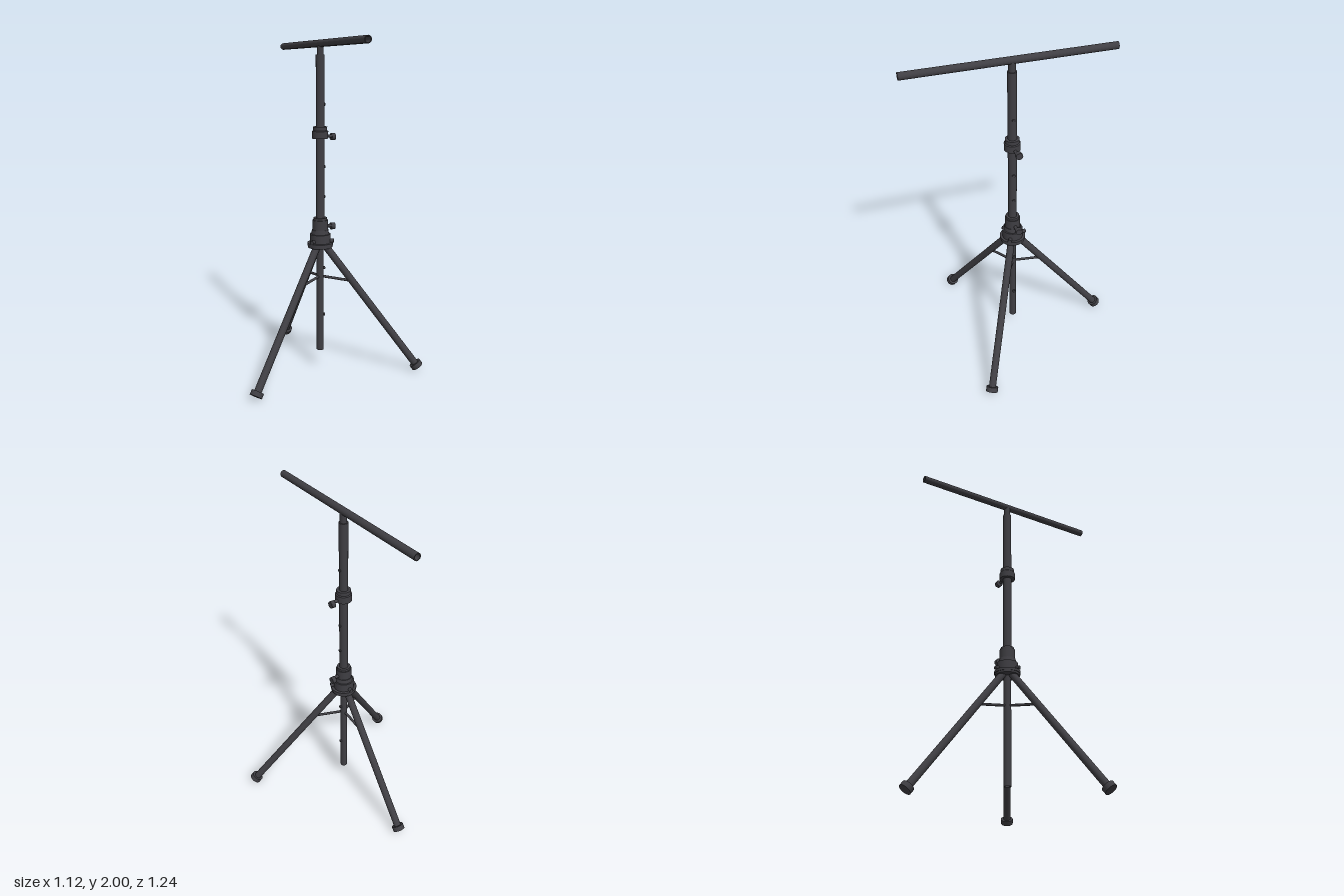
import * as THREE from 'three';

const AXIS_Z = 0.017; // the mast stands slightly forward of centre
const V = (x, y, z) => new THREE.Vector3(x, y, z);

export function createModel() {
  const root = new THREE.Group();
  root.name = 'tripodStand';
  const stand = new THREE.Group();
  stand.name = 'stand';
  stand.position.z = AXIS_Z;
  root.add(stand);
  const material = new THREE.MeshStandardMaterial({ color: 0x3f3e43 });

  function add(parent, name, geometry) {
    const mesh = new THREE.Mesh(geometry, material);
    mesh.name = name;
    parent.add(mesh);
    return mesh;
  }

  // Cylinder running from a to b
  function rod(parent, name, a, b, radius, sides = 20) {
    const mesh = add(parent, name, new THREE.CylinderGeometry(radius, radius, a.distanceTo(b), sides));
    mesh.position.copy(a).add(b).multiplyScalar(0.5);
    mesh.quaternion.setFromUnitVectors(V(0, 1, 0), b.clone().sub(a).normalize());
    return mesh;
  }

  // Hollow tube along y; each wall has its own normals so the rims stay crisp
  function pipe(parent, name, outer, inner, y0, y1) {
    const shape = new THREE.Shape().absarc(0, 0, outer, 0, Math.PI * 2);
    shape.holes.push(new THREE.Path().absarc(0, 0, inner, 0, Math.PI * 2, true));
    const geometry = new THREE.ExtrudeGeometry(shape, { depth: y1 - y0, bevelEnabled: false, curveSegments: 24 });
    geometry.rotateX(-Math.PI / 2).translate(0, y0, 0);
    return add(parent, name, geometry);
  }

  // Stack of rings: [bottom y, top y, bottom radius, top radius]
  function rings(name, list) {
    const group = new THREE.Group();
    group.name = name;
    for (const [y0, y1, r0, r1] of list) {
      const mesh = add(group, name + 'Ring', new THREE.CylinderGeometry(r1, r0, y1 - y0, 24));
      mesh.position.y = (y0 + y1) / 2;
    }
    stand.add(group);
  }

  // Telescoping mast
  pipe(stand, 'lowerTube', 0.022, 0.017, 0.11, 0.8);
  pipe(stand, 'middleTube', 0.026, 0.021, 0.85, 1.45);
  rod(stand, 'upperTube', V(0, 1.43, 0), V(0, 1.915, 0), 0.026, 24);
  rod(stand, 'mastNeck', V(0, 1.9, 0), V(0, 1.972, 0), 0.02, 24);

  // Top crossbar, an open pipe running front to back
  const bar = pipe(stand, 'crossbar', 0.021, 0.016, -0.603, 0.603);
  bar.rotation.x = Math.PI / 2;
  bar.position.set(0, 1.979, 0);

  // Clamp collars and hub
  rings('upperCollar', [
    [1.43, 1.473, 0.048, 0.048],
    [1.473, 1.478, 0.048, 0.042],
    [1.478, 1.5, 0.042, 0.042],
  ]);
  rings('hub', [
    [0.77, 0.782, 0.075, 0.075],
    [0.782, 0.798, 0.079, 0.079],
    [0.798, 0.852, 0.063, 0.063],
    [0.852, 0.878, 0.054, 0.05],
    [0.878, 0.938, 0.047, 0.047],
    [0.938, 0.952, 0.041, 0.041],
  ]);

  // Locking knobs on the left side
  for (const y of [1.442, 0.895]) {
    const knob = new THREE.Group();
    knob.name = 'lockingKnob';
    rod(knob, 'knobStem', V(0.03, y, -0.003), V(0.08, y, -0.003), 0.01, 12);
    rod(knob, 'knobHead', V(0.075, y - 0.005, -0.012), V(0.1, y - 0.005, -0.012), 0.021, 16);
    stand.add(knob);
  }

  // Height buttons along the left of the tubes
  for (const y of [1.63, 1.26, 1.08, 0.635, 0.335]) {
    rod(stand, 'heightButton', V(0.015, y, 0), V(0.031, y, 0), 0.009, 12);
  }

  // Three legs, each with foot, brace and hub bolt; built along +x
  const top = V(0.026, 0.785, 0);
  const end = V(0.608, 0.023, 0);
  const along = end.clone().sub(top).normalize();
  for (const angle of [Math.PI / 2, -Math.PI / 6, -Math.PI * 5 / 6]) {
    const leg = new THREE.Group();
    leg.name = 'leg';
    rod(leg, 'legTube', top, end.clone().addScaledVector(along, -0.01), 0.022, 20);
    rod(leg, 'foot', end.clone().addScaledVector(along, -0.03), end, 0.037, 20);
    rod(leg, 'brace', V(0.01, 0.585, 0), V(0.18, 0.563, 0), 0.008, 10);
    rod(leg, 'hubBolt', V(0.05, 0.81, 0), V(0.084, 0.81, 0), 0.012, 12);
    leg.rotation.y = angle;
    stand.add(leg);
  }

  return root;
}
